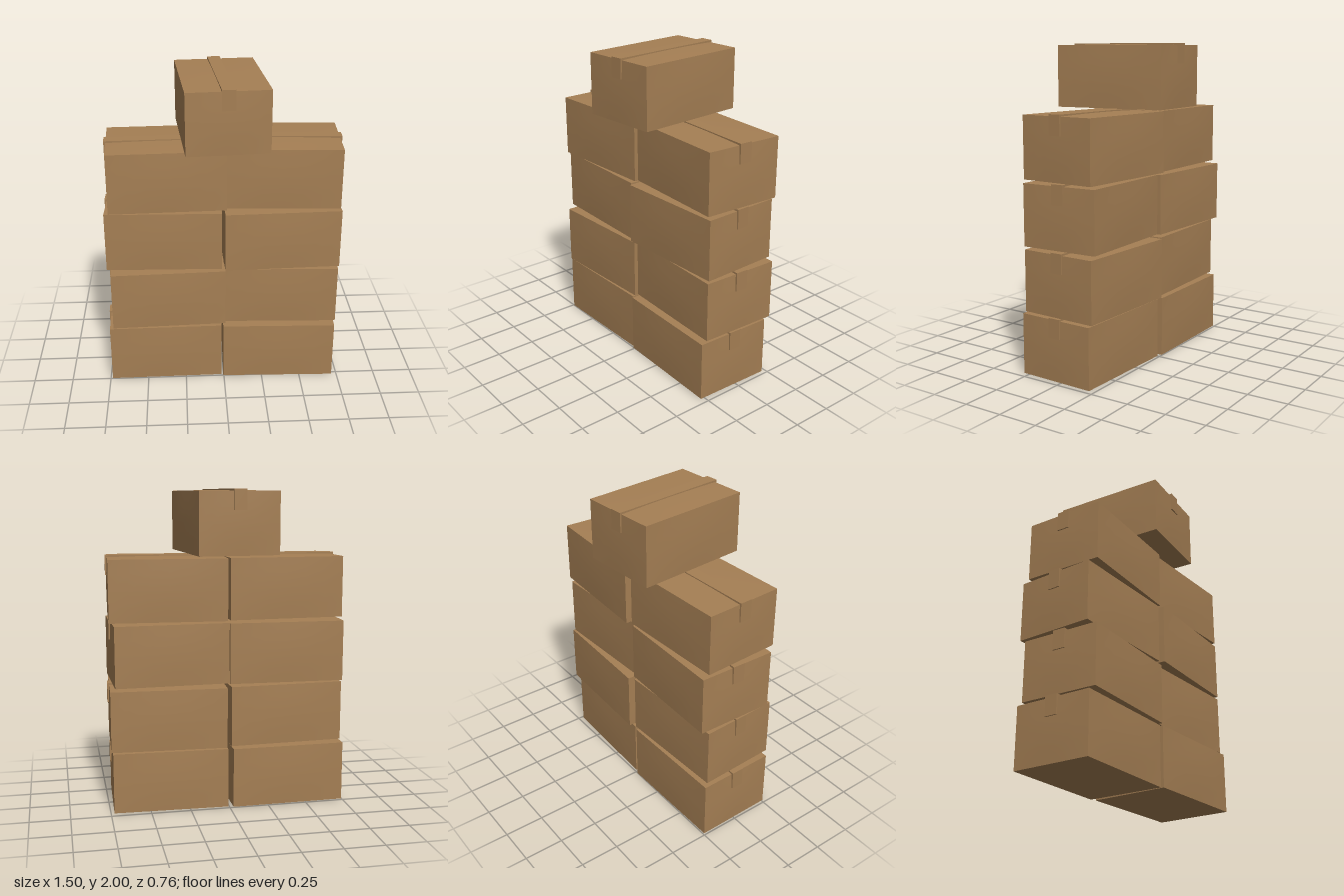
import * as THREE from 'three';

const L = 0.72, H = 0.38, W = 0.5;         // carton size
const TAPE_W = 0.08, TAPE_T = 0.012, TAPE_DROP = 0.11;

// Carton body whose faces swell very slightly while the edges stay straight
function cartonGeometry() {
  const geo = new THREE.BoxGeometry(L, H, W, 6, 4, 6);
  const p = geo.attributes.position, n = geo.attributes.normal;
  const half = [L / 2, H / 2, W / 2];
  for (let i = 0; i < p.count; i++) {
    const pos = [p.getX(i), p.getY(i), p.getZ(i)];
    const nor = [n.getX(i), n.getY(i), n.getZ(i)];
    let swell = 0.006;
    for (let k = 0; k < 3; k++) {
      if (Math.abs(nor[k]) < 0.5) swell *= 1 - (pos[k] / half[k]) ** 2;
    }
    p.setXYZ(i, ...pos.map((v, k) => v + nor[k] * swell));
  }
  geo.computeVertexNormals();
  return geo;
}

// Tape strip: runs along the top seam and folds down over both ends
function tapeGeometry() {
  const x = L / 2, y = H / 2, t = TAPE_T;
  const s = new THREE.Shape();
  s.moveTo(-x - t, y - TAPE_DROP);
  s.lineTo(-x, y - TAPE_DROP);
  s.lineTo(-x, y);
  s.lineTo(x, y);
  s.lineTo(x, y - TAPE_DROP);
  s.lineTo(x + t, y - TAPE_DROP);
  s.lineTo(x + t, y + t);
  s.lineTo(-x - t, y + t);
  s.closePath();
  const geo = new THREE.ExtrudeGeometry(s, { depth: TAPE_W, bevelEnabled: false });
  geo.translate(0, 0, -TAPE_W / 2);
  return geo;
}

export function createModel() {
  const model = new THREE.Group();
  model.name = 'cartonStack';

  const cardboard = new THREE.MeshStandardMaterial({ color: 0xa57f54 });
  cardboard.name = 'cardboard';

  const bodyGeo = cartonGeometry();
  const tapeGeo = tapeGeometry();

  // Each carton: layer, x, z, turn in degrees
  const cartons = [
    [0, -0.379, 0.0, 0.7], [0, 0.3625, 0.019, -1.7],
    [1, -0.36, 0.012, 2.2], [1, 0.372, -0.014, -2.2],
    [2, -0.367, -0.011, -1.5], [2, 0.359, 0.01, 2.0],
    [3, -0.352, 0.006, 2.2], [3, 0.368, -0.016, -2.8],
    [4, -0.0075, -0.0025, -85.6],
  ];

  cartons.forEach(([layer, x, z, turn], i) => {
    const carton = new THREE.Group();
    carton.name = `carton${i + 1}`;
    const body = new THREE.Mesh(bodyGeo, cardboard);
    body.name = 'cartonBody';
    const tape = new THREE.Mesh(tapeGeo, cardboard);
    tape.name = 'tapeStrip';
    carton.add(body, tape);
    carton.position.set(x, layer * 0.4 + 0.008 + H / 2, z);
    carton.rotation.y = THREE.MathUtils.degToRad(turn);
    model.add(carton);
  });

  return model;
}
